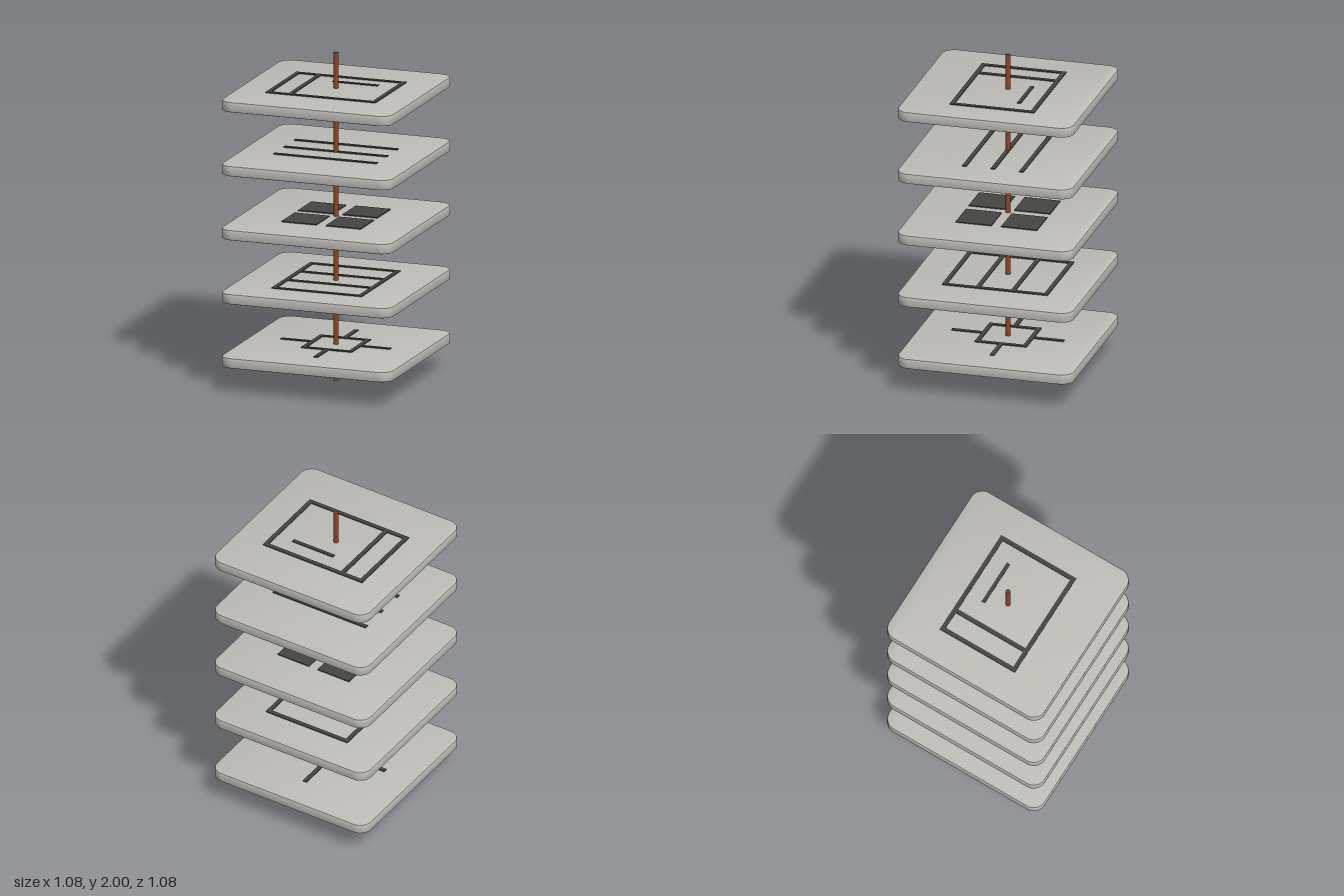
import * as THREE from 'three';
import { toCreasedNormals } from 'three/addons/utils/BufferGeometryUtils.js';

const slabColour = new THREE.MeshStandardMaterial({ color: 0xbfbdb8 });
slabColour.name = 'pale stone grey';
const markColour = new THREE.MeshStandardMaterial({ color: 0x464544 });
markColour.name = 'charcoal';
const rodColour = new THREE.MeshStandardMaterial({ color: 0x8c4426 });
rodColour.name = 'rust brown';

const HALF = 0.54, THICK = 0.063, CORNER = 0.078, BEVEL = 0.008;
const BASE = 0.158, STEP = 0.3905; // underside of lowest slab, slab spacing
const LINE = 0.026, RAISE = 0.006; // stroke width and height of the marks

// Rounded square slab with softened rims, underside at y = 0
function slabGeometry() {
  const h = HALF - BEVEL, r = CORNER - BEVEL, c = h - r;
  const s = new THREE.Shape();
  s.absarc(c, c, r, 0, Math.PI / 2);
  s.absarc(-c, c, r, Math.PI / 2, Math.PI);
  s.absarc(-c, -c, r, Math.PI, Math.PI * 1.5);
  s.absarc(c, -c, r, Math.PI * 1.5, Math.PI * 2);
  s.closePath();
  const g = new THREE.ExtrudeGeometry(s, {
    depth: THICK - 2 * BEVEL, bevelSize: BEVEL, bevelThickness: BEVEL, bevelSegments: 2, curveSegments: 10,
  });
  g.rotateX(-Math.PI / 2).translate(0, BEVEL, 0);
  return toCreasedNormals(g, 0.6);
}

// Thin raised rectangle lying on a slab
function plate(group, name, x, z, w, d) {
  const m = new THREE.Mesh(new THREE.BoxGeometry(w, RAISE, d), markColour);
  m.name = name;
  m.position.set(x, THICK + RAISE / 2, z);
  group.add(m);
}

// Rectangular outline, sizes measured to the outer edge
function frame(group, hx, hz) {
  for (const s of [-1, 1]) {
    plate(group, 'frameBar', 0, s * (hz - LINE / 2), 2 * hx, LINE);
    plate(group, 'frameBar', s * (hx - LINE / 2), 0, LINE, 2 * (hz - LINE));
  }
}

// Marks for each slab, lowest first
const marks = [
  (g) => { // small square with four arms
    const h = 0.16, end = 0.345, len = end - h;
    frame(g, h, h);
    for (const s of [-1, 1]) {
      plate(g, 'arm', s * (h + len / 2), 0, len, LINE);
      plate(g, 'arm', 0, s * (h + len / 2), LINE, len);
    }
  },
  (g) => { // frame with two shelves
    frame(g, 0.285, 0.325);
    for (const z of [-0.108, 0.108]) plate(g, 'shelfBar', 0, z, 0.57 - 2 * LINE, LINE);
  },
  (g) => { // four tiles
    for (const x of [-0.14, 0.14])
      for (const z of [-0.14, 0.14]) plate(g, 'tile', x, z, 0.22, 0.22);
  },
  (g) => { // three parallel bars
    for (const z of [-0.175, 0, 0.175]) plate(g, 'bar', 0, z, 0.65, LINE);
  },
  (g) => { // window frame with side panel and heading
    frame(g, 0.347, 0.26);
    plate(g, 'sidePanelBar', -0.197, 0, LINE, 0.52 - 2 * LINE);
    plate(g, 'headingBar', 0.075, -0.13, 0.284, 0.022);
  },
];

export function createModel() {
  const model = new THREE.Group();
  model.name = 'layeredStack';

  // Central rod through every slab
  const rod = new THREE.Mesh(new THREE.CylinderGeometry(0.0145, 0.0145, 2, 12), rodColour);
  rod.name = 'rod';
  rod.position.y = 1;
  model.add(rod);

  // Slabs with their marks
  const geometry = slabGeometry();
  marks.forEach((addMarks, i) => {
    const layer = new THREE.Group();
    layer.name = `layer${i + 1}`;
    layer.position.y = BASE + i * STEP;
    const slab = new THREE.Mesh(geometry, slabColour);
    slab.name = 'slab';
    layer.add(slab);
    addMarks(layer);
    model.add(layer);
  });
  return model;
}
